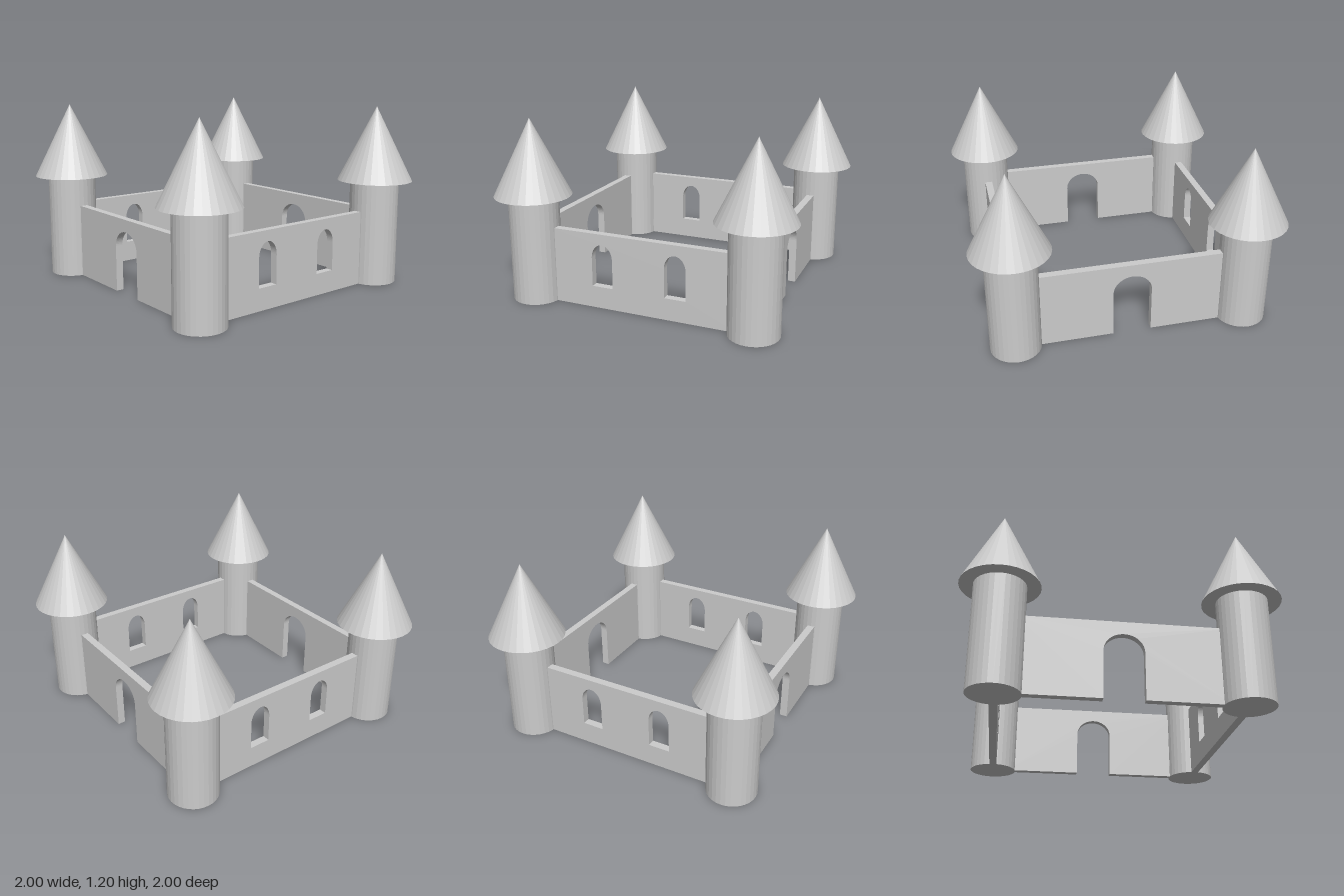
import * as THREE from 'three';

const SPAN = 0.75;        // tower centres from the middle
const WALL_HALF = 0.65;   // wall ends sit inside the towers
const WALL_HEIGHT = 0.5;
const WALL_THICKNESS = 0.05;

const wallMaterial = new THREE.MeshStandardMaterial({ color: 0xcccccc });
const towerMaterial = new THREE.MeshStandardMaterial({ color: 0xcccccc, flatShading: true });

// Traces an arch from its lower right corner, over the top, to its lower left
function traceArch(path, cx, halfWidth, bottom, spring, rise) {
  path.lineTo(cx + halfWidth, bottom);
  path.lineTo(cx + halfWidth, spring);
  path.absellipse(cx, spring, halfWidth, rise, 0, Math.PI, false, 0);
  path.lineTo(cx - halfWidth, bottom);
}

// Wall with two arched windows
function windowWallShape() {
  const shape = new THREE.Shape();
  shape.moveTo(-WALL_HALF, 0);
  shape.lineTo(WALL_HALF, 0);
  shape.lineTo(WALL_HALF, WALL_HEIGHT);
  shape.lineTo(-WALL_HALF, WALL_HEIGHT);
  shape.closePath();
  for (const cx of [-0.25, 0.25]) {
    const hole = new THREE.Path();
    hole.moveTo(cx - 0.072, 0.145);
    traceArch(hole, cx, 0.072, 0.145, 0.335, 0.095);
    shape.holes.push(hole);
  }
  return shape;
}

// Wall with a gateway open to the ground
function gateWallShape() {
  const shape = new THREE.Shape();
  shape.moveTo(WALL_HALF, 0);
  shape.lineTo(WALL_HALF, WALL_HEIGHT);
  shape.lineTo(-WALL_HALF, WALL_HEIGHT);
  shape.lineTo(-WALL_HALF, 0);
  shape.lineTo(-0.125, 0);
  // Up the left jamb, over the arch and down the right jamb
  shape.lineTo(-0.125, 0.305);
  shape.absellipse(0, 0.305, 0.125, 0.113, Math.PI, 0, true, 0);
  shape.lineTo(0.125, 0);
  shape.closePath();
  return shape;
}

function makeWall(name, shape, x, z, turn) {
  const geometry = new THREE.ExtrudeGeometry(shape, {
    depth: WALL_THICKNESS, bevelEnabled: false, curveSegments: 16,
  });
  geometry.translate(0, 0, -WALL_THICKNESS / 2);
  const wall = new THREE.Mesh(geometry, wallMaterial);
  wall.name = name;
  wall.position.set(x, 0, z);
  wall.rotation.y = turn;
  return wall;
}

// Round tower with a pointed roof overhanging it
function makeTower(name, x, z) {
  const tower = new THREE.Group();
  tower.name = name;
  const shaft = new THREE.Mesh(new THREE.CylinderGeometry(0.163, 0.163, 0.7, 32), towerMaterial);
  shaft.name = 'towerShaft';
  shaft.position.y = 0.35;
  const roof = new THREE.Mesh(new THREE.ConeGeometry(0.25, 0.5, 32), towerMaterial);
  roof.name = 'towerRoof';
  roof.position.y = 0.95;
  tower.add(shaft, roof);
  tower.position.set(x, 0, z);
  return tower;
}

export function createModel() {
  const castle = new THREE.Group();
  castle.name = 'castle';

  // Corner towers
  for (const [side, x] of [['Left', SPAN], ['Right', -SPAN]]) {
    for (const [end, z] of [['front', SPAN], ['back', -SPAN]]) {
      castle.add(makeTower(`${end}${side}Tower`, x, z));
    }
  }

  // Windowed walls front and back, gate walls on the sides
  castle.add(
    makeWall('frontWall', windowWallShape(), 0, SPAN, 0),
    makeWall('backWall', windowWallShape(), 0, -SPAN, Math.PI),
    makeWall('leftGateWall', gateWallShape(), SPAN, 0, Math.PI / 2),
    makeWall('rightGateWall', gateWallShape(), -SPAN, 0, -Math.PI / 2),
  );
  return castle;
}
